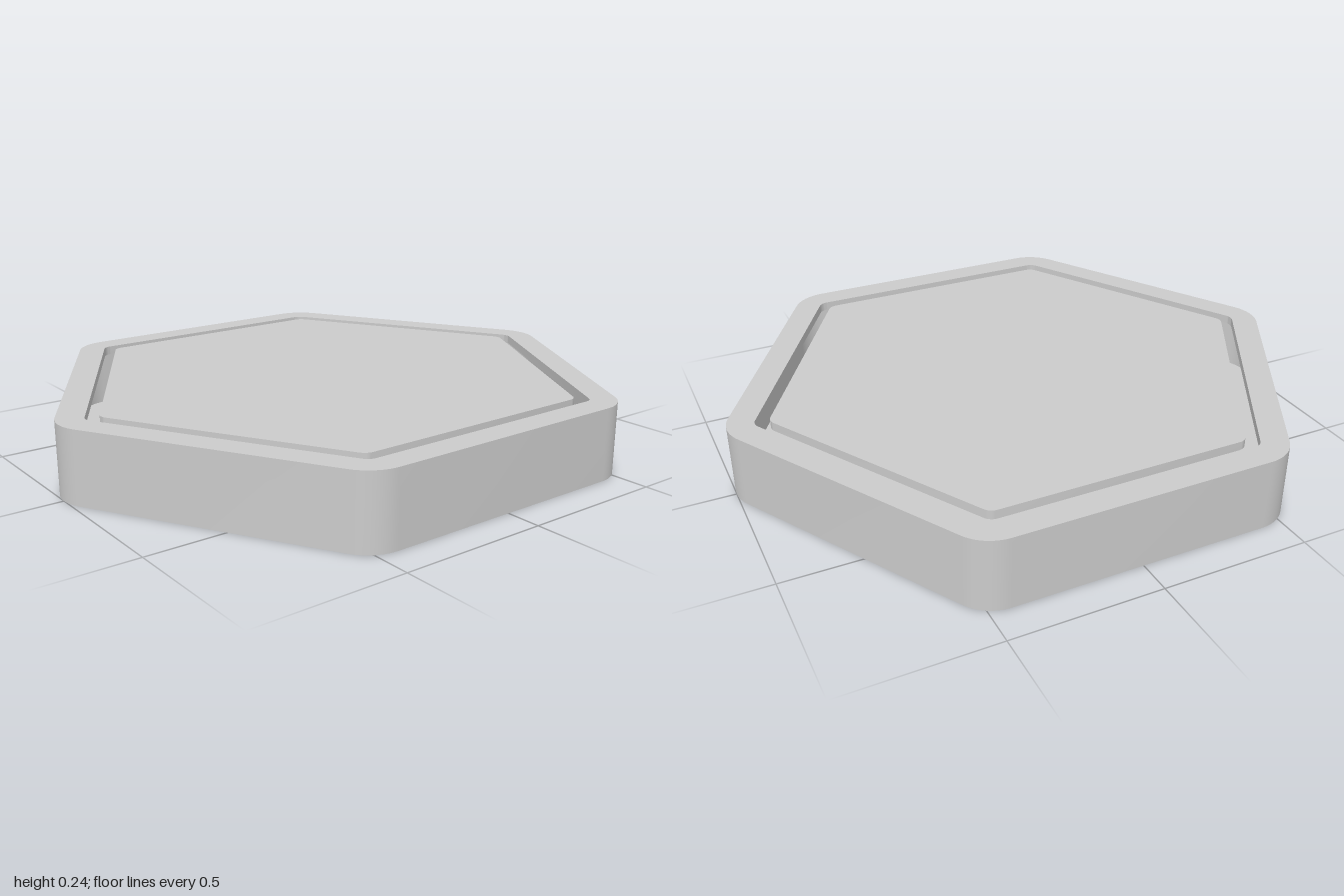
import * as THREE from 'three';
import { toCreasedNormals } from 'three/addons/utils/BufferGeometryUtils.js';

const HEIGHT = 0.243;
const LIP = 0.03;

// Hexagon outline with rounded corners, corners on the x axis
function hexPoints(apothem, radius, steps = 10) {
  const points = [];
  const centre = (apothem - radius) / Math.cos(Math.PI / 6);
  for (let i = 0; i < 6; i++) {
    const a = (i * Math.PI) / 3;
    for (let j = 0; j <= steps; j++) {
      const t = a + (j / steps - 0.5) * (Math.PI / 3);
      points.push(new THREE.Vector2(
        centre * Math.cos(a) + radius * Math.cos(t),
        centre * Math.sin(a) + radius * Math.sin(t)));
    }
  }
  return points;
}

// Flat sheet at height y, facing up or down
function sheet(outline, y, up = true, hole = null) {
  const shape = new THREE.Shape(outline);
  if (hole) shape.holes.push(new THREE.Path(hole));
  return new THREE.ShapeGeometry(shape).rotateX(up ? -Math.PI / 2 : Math.PI / 2).translate(0, y, 0);
}

// Upright band that follows an outline; it faces outward unless inward is set
function band(outline, y0, y1, inward = false) {
  const positions = [];
  const index = [];
  const n = outline.length;
  outline.forEach((p, i) => {
    positions.push(p.x, y0, -p.y, p.x, y1, -p.y);
    const a = 2 * i, b = 2 * ((i + 1) % n);
    if (inward) index.push(a, b + 1, b, a, a + 1, b + 1);
    else index.push(a, b, b + 1, a, b + 1, a + 1);
  });
  const geometry = new THREE.BufferGeometry();
  geometry.setAttribute('position', new THREE.Float32BufferAttribute(positions, 3));
  geometry.setIndex(index);
  return toCreasedNormals(geometry, Math.PI / 6);
}

export function createModel() {
  const model = new THREE.Group();
  model.name = 'hexagonalTile';
  const material = new THREE.MeshStandardMaterial({ color: 0xcccccc, side: THREE.DoubleSide });
  const add = (name, geometry) => {
    const mesh = new THREE.Mesh(geometry, material);
    mesh.name = name;
    model.add(mesh);
  };

  const outer = hexPoints(0.885, 0.14);
  const inner = hexPoints(0.795, 0.04);
  const plate = hexPoints(0.752, 0.04);

  // Hollow body
  add('bottom', sheet(outer, 0, false));
  add('outerWall', band(outer, 0, HEIGHT));

  // Rim around the gap
  add('rim', sheet(outer, HEIGHT, true, inner));
  add('rimLip', band(inner, HEIGHT - LIP, HEIGHT, true));

  // Centre plate, level with the rim
  add('centrePlate', sheet(plate, HEIGHT));
  add('centrePlateEdge', band(plate, HEIGHT - LIP, HEIGHT));

  return model;
}
